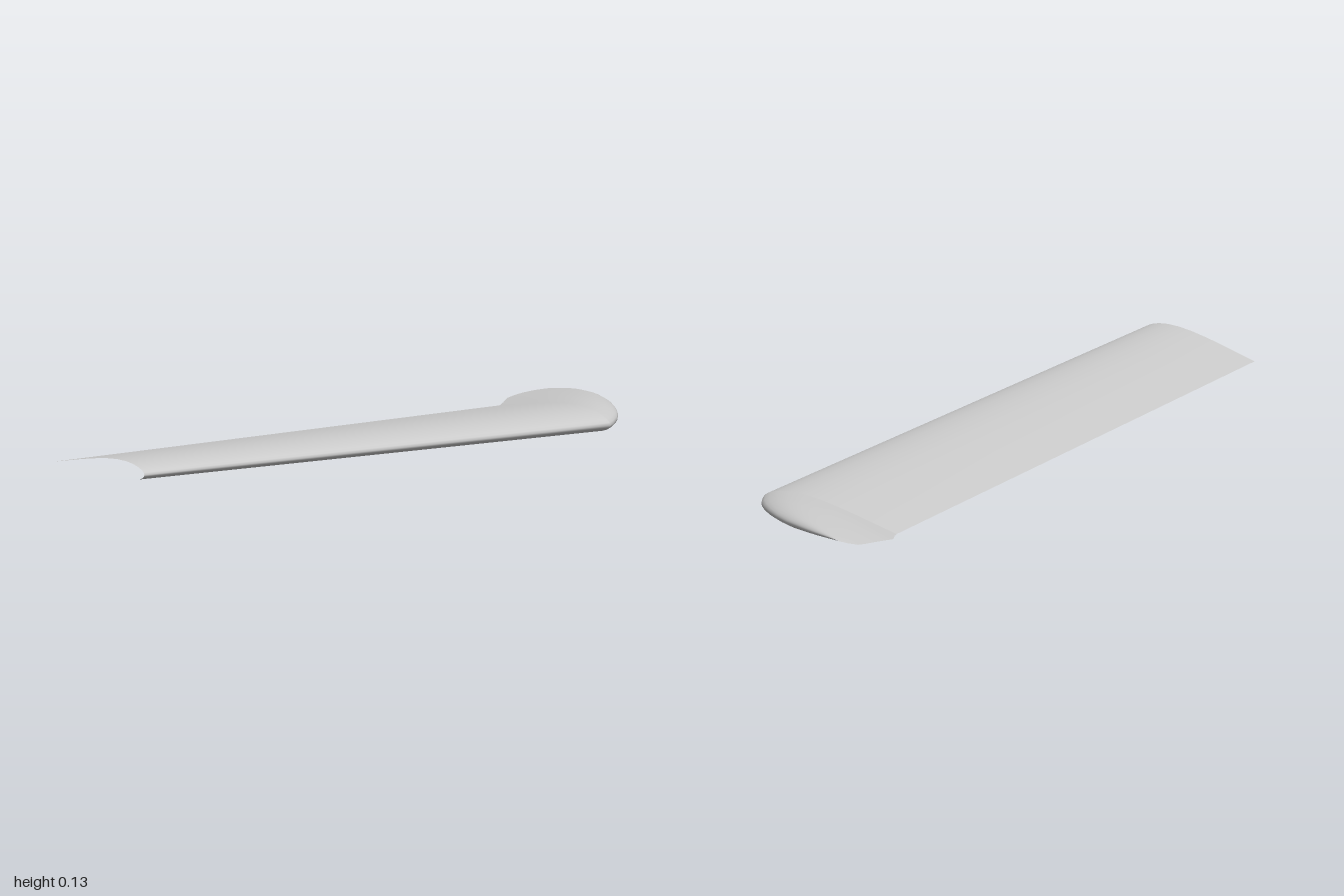
import * as THREE from 'three';

// Aerofoil half-profiles: [position along chord, height above the chord line]
const UPPER = [[0, 0], [0.006, 0.014], [0.025, 0.028], [0.06, 0.043], [0.12, 0.06], [0.2, 0.072],
  [0.3, 0.077], [0.42, 0.073], [0.56, 0.06], [0.7, 0.043], [0.85, 0.022], [1, 0.001]];
const LOWER = [[0.006, -0.012], [0.025, -0.023], [0.06, -0.033], [0.12, -0.041], [0.2, -0.043],
  [0.3, -0.041], [0.42, -0.035], [0.56, -0.027], [0.7, -0.018], [0.85, -0.009], [1, -0.001]];
// Trailing edge, over the top to the nose, and back underneath
const LOOP = [...UPPER].reverse().concat(LOWER);

// Stations: x, leading z, trailing z, leading y, trailing y, thickness scale
const ROOT = [-1, 0.51, 0.10, 0.11, 0.093, 0.41];
const JOINT = [0.775, 0.06, -0.44, 0.027, 0.016, 0.5];
const TIP = [
  JOINT,
  [0.80, 0.04, -0.46, 0.028, 0.019, 0.5],
  [0.84, 0.0, -0.497, 0.031, 0.023, 0.47],
  [0.87, -0.04, -0.506, 0.034, 0.027, 0.42],
  [0.90, -0.09, -0.512, 0.036, 0.03, 0.36],
  [0.93, -0.15, -0.515, 0.038, 0.032, 0.3],
  [0.955, -0.215, -0.516, 0.039, 0.033, 0.24],
  [0.98, -0.32, -0.514, 0.04, 0.034, 0.14],
  [0.993, -0.4, -0.49, 0.04, 0.036, 0.06],
  [1, -0.45, -0.465, 0.04, 0.038, 0.01],
];

function section([x, zl, zt, yl, yt, h]) {
  return LOOP.map(([t, y]) => [x, yl + (yt - yl) * t + y * h, zl + (zt - zl) * t]);
}

function build(points, index) {
  const geometry = new THREE.BufferGeometry();
  geometry.setAttribute('position', new THREE.Float32BufferAttribute(points.flat(), 3));
  geometry.setIndex(index);
  geometry.computeVertexNormals();
  return geometry;
}

// Skin stretched over a row of stations
function loft(stations) {
  const n = LOOP.length;
  const index = [];
  for (let i = 0; i < stations.length - 1; i++) {
    for (let j = 0; j < n - 1; j++) {
      const a = i * n + j, b = a + 1, c = a + n, d = c + 1;
      index.push(a, b, c, b, d, c);
    }
  }
  return build(stations.flatMap(section), index);
}

// Flat end face, joining each upper point to the lower point across from it
function cap(station, facesRight) {
  const n = LOOP.length;
  const index = [];
  const add = (a, b, c) => (facesRight ? index.push(a, c, b) : index.push(a, b, c));
  for (let j = 0; j < (n - 1) / 2; j++) {
    const k = n - 1 - j;
    add(j, k, j + 1);
    if (k - 1 > j + 1) add(j + 1, k, k - 1);
  }
  return build(section(station), index);
}

export function createModel() {
  const group = new THREE.Group();
  group.name = 'wing';
  const lightGrey = new THREE.MeshStandardMaterial({ color: 0xcccccc });
  lightGrey.name = 'light grey';

  const add = (name, geometry) => {
    const mesh = new THREE.Mesh(geometry, lightGrey);
    mesh.name = name;
    group.add(mesh);
  };

  // Straight swept panel, subdivided along the span
  const span = Array.from({ length: 9 }, (_, i) => ROOT.map((v, k) => v + (JOINT[k] - v) * i / 8));
  add('mainPanel', loft(span));
  add('rootFace', cap(ROOT, true));

  // Rounded, upturned end
  add('wingTip', loft(TIP));
  add('tipFace', cap(TIP[TIP.length - 1], false));
  return group;
}
